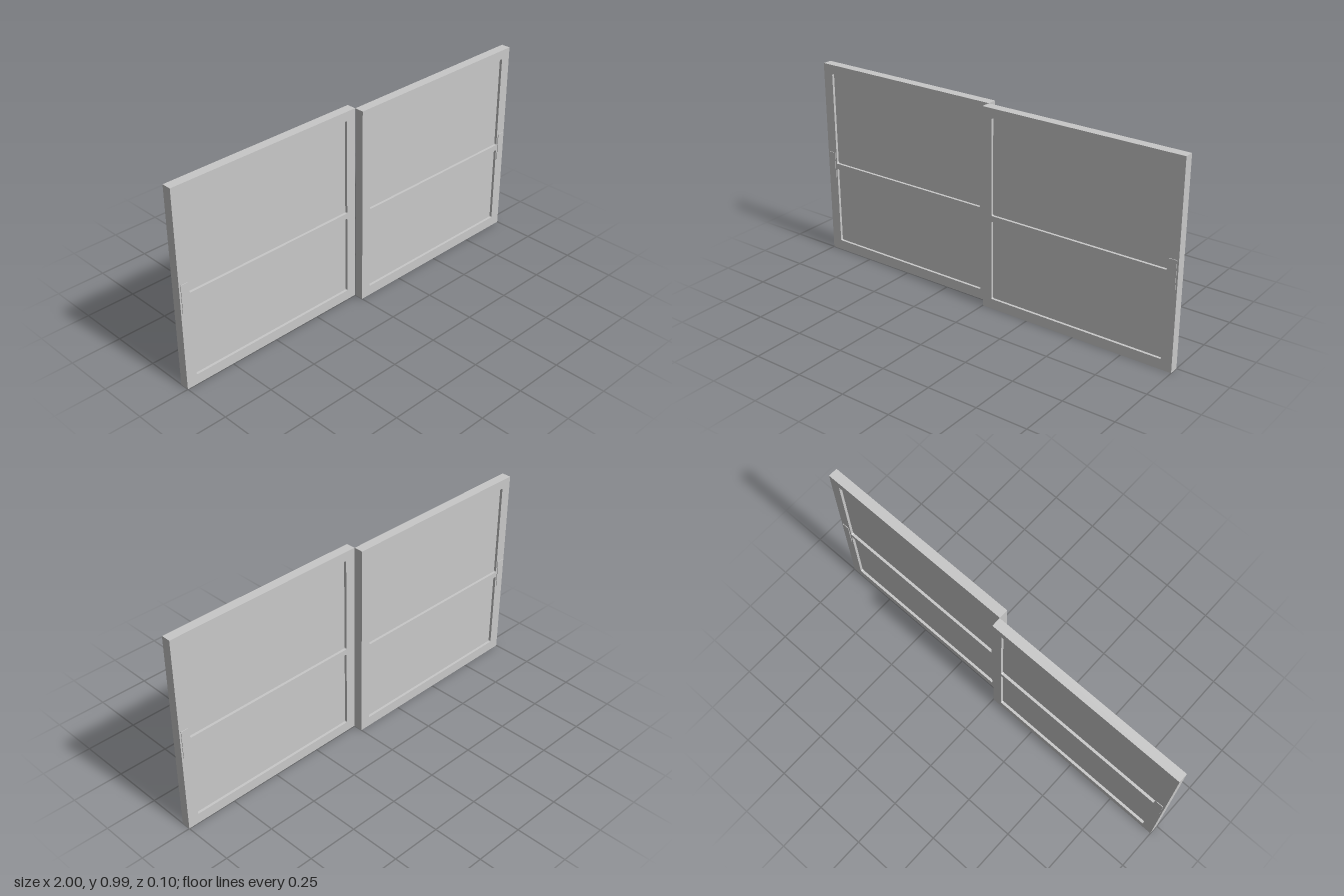
import * as THREE from 'three';

const HEIGHT = 0.985, DEPTH = 0.046;

// Adds a rounded rectangle to a Path
function roundedRect(path, x0, y0, x1, y1, r) {
  path.moveTo(x0 + r, y0);
  path.lineTo(x1 - r, y0);
  path.absarc(x1 - r, y0 + r, r, -Math.PI / 2, 0);
  path.lineTo(x1, y1 - r);
  path.absarc(x1 - r, y1 - r, r, 0, Math.PI / 2);
  path.lineTo(x0 + r, y1);
  path.absarc(x0 + r, y1 - r, r, Math.PI / 2, Math.PI);
  path.lineTo(x0, y0 + r);
  path.absarc(x0 + r, y0 + r, r, Math.PI, Math.PI * 1.5);
  return path;
}

export function createModel() {
  const grey = new THREE.MeshStandardMaterial({ color: 0xc8c8c8 });
  grey.name = 'light grey';

  const model = new THREE.Group();
  model.name = 'slidingWindow';

  // Openings of one sash, and its finger pull, for a sash spanning x = 0..1
  const openings = [[0.05, 0.05, 0.948, 0.445], [0.05, 0.473, 0.948, 0.94]];
  const pull = [0.956, 0.39, 0.992, 0.53];

  function makeSash(name) {
    const sash = new THREE.Group();
    sash.name = name;

    const add = (part, geometry) => {
      const mesh = new THREE.Mesh(geometry, grey);
      mesh.name = part;
      sash.add(mesh);
    };
    // Upright plate between two corners, centred on z = 0
    const plate = ([x0, y0, x1, y1], depth) =>
      new THREE.BoxGeometry(x1 - x0, y1 - y0, depth)
        .translate((x0 + x1) / 2, (y0 + y1) / 2, 0);

    // Frame with middle rail, pierced for the panes
    const outline = new THREE.Shape();
    outline.moveTo(0, 0);
    outline.lineTo(1, 0);
    outline.lineTo(1, HEIGHT);
    outline.lineTo(0, HEIGHT);
    outline.closePath();
    for (const o of openings) outline.holes.push(roundedRect(new THREE.Path(), ...o, 0.006));
    add('frame', new THREE.ExtrudeGeometry(outline, {
      depth: DEPTH, bevelEnabled: false, curveSegments: 4,
    }).translate(0, 0, -DEPTH / 2));

    // Recessed panes
    add('lowerPane', plate(openings[0], 0.02));
    add('upperPane', plate(openings[1], 0.02));

    // Finger pull standing slightly proud of both faces
    add('fingerPull', plate(pull, DEPTH + 0.006));
    return sash;
  }

  // Two sashes on neighbouring tracks, the rear one turned half round
  const front = makeSash('frontSash');
  front.position.z = DEPTH / 2 + 0.0005;
  const rear = makeSash('rearSash');
  rear.rotation.y = Math.PI;
  rear.position.z = -DEPTH / 2 - 0.0005;
  model.add(front, rear);
  return model;
}
